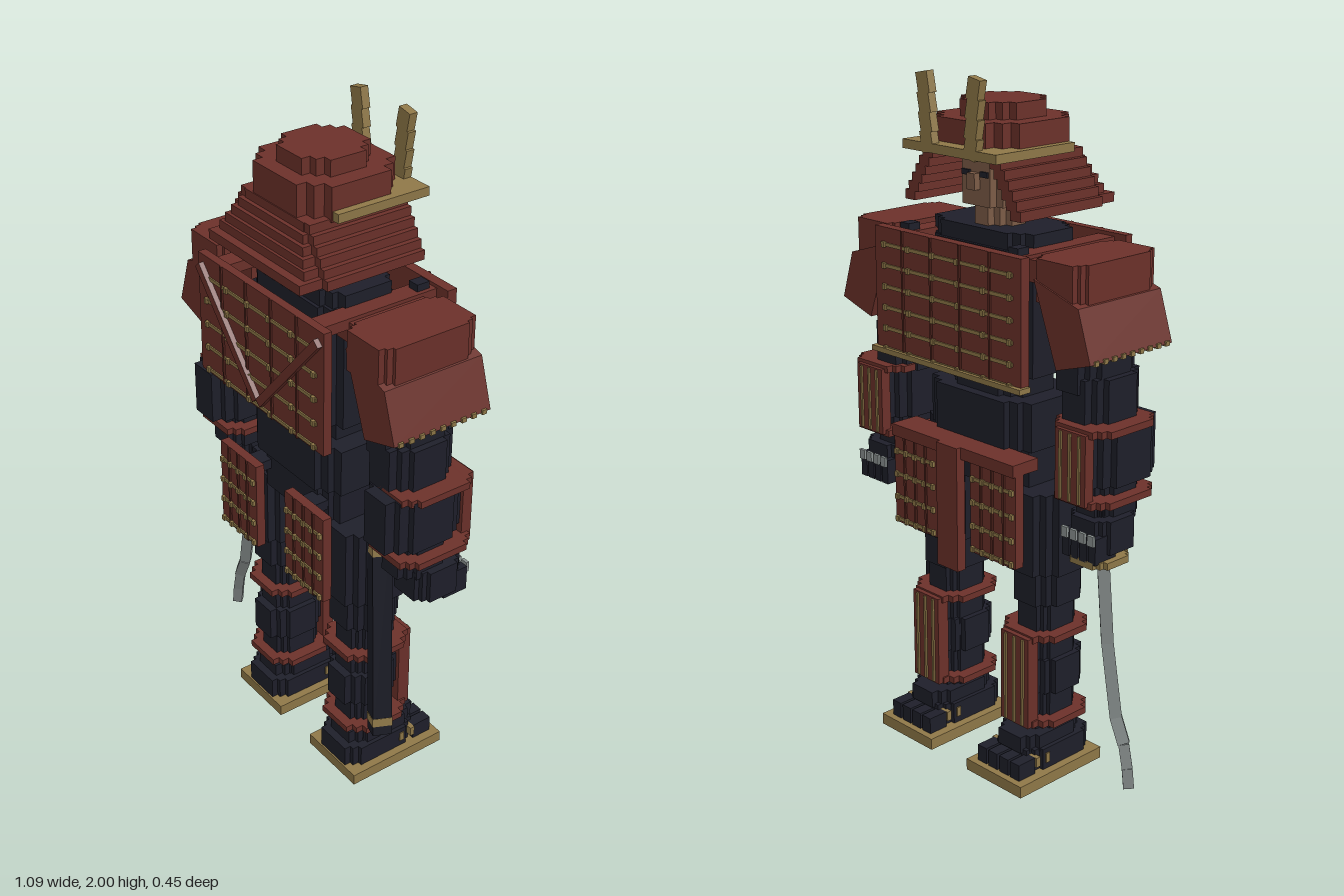
import * as THREE from 'three';

const mat = (name, color) => Object.assign(new THREE.MeshStandardMaterial({ color }), { name });

export function createModel() {
  const red = mat('lacquerRed', 0x6c312a), darkRed = mat('seamRed', 0x54261f), navy = mat('navyCloth', 0x1e1f2a);
  const gold = mat('gold', 0x8f7848), steel = mat('steel', 0x8d9493), skin = mat('skin', 0x7d5c47);
  const sheath = mat('sheathBlack', 0x191a24);
  const root = new THREE.Group();
  root.name = 'armouredWarrior';
  root.position.x = 0.03;

  const group = (name, parent = root) => {
    const g = new THREE.Group();
    g.name = name;
    parent.add(g);
    return g;
  };
  const add = (p, name, m, geo) => {
    const mesh = new THREE.Mesh(geo, m);
    mesh.name = name;
    p.add(mesh);
    return mesh;
  };
  const shape = pts => new THREE.Shape(pts.map(([x, y]) => new THREE.Vector2(x, y)));
  // box given by centre x, width, y range and z range
  const box = (p, name, m, x, w, y0, y1, z0, z1) => {
    const b = add(p, name, m, new THREE.BoxGeometry(w, y1 - y0, Math.abs(z1 - z0)));
    b.position.set(x, (y0 + y1) / 2, (z0 + z1) / 2);
    return b;
  };
  // plan outline extruded upwards
  const upright = (p, name, m, pts, y0, y1) => {
    const b = add(p, name, m, new THREE.ExtrudeGeometry(shape(pts), { depth: y1 - y0, bevelEnabled: false }).rotateX(-Math.PI / 2));
    b.position.y = y0;
    return b;
  };
  // upright prism with stepped, blocky round corners
  const block = (p, name, m, x, w, y0, y1, z0, z1, k = 0.16) => {
    const a = w / 2, d = (z1 - z0) / 2, u = w * k, v = 2 * d * k;
    const q = [[a, d - 2 * v], [a - u, d - 2 * v], [a - u, d - v], [a - 2 * u, d - v], [a - 2 * u, d]];
    const r = [...q].reverse();
    const pts = [...q, ...r.map(([i, j]) => [-i, j]), ...q.map(([i, j]) => [-i, -j]), ...r.map(([i, j]) => [i, -j])];
    const b = upright(p, name, m, pts, y0, y1);
    b.position.x = x;
    b.position.z = (z0 + z1) / 2;
  };
  // square bar between two points, standing on its edge
  const bar = (p, name, m, from, to, size) => {
    const a = new THREE.Vector3(...from), b = new THREE.Vector3(...to), len = a.distanceTo(b);
    const mesh = add(p, name, m, new THREE.BoxGeometry(size, len, size).rotateY(Math.PI / 4));
    mesh.position.copy(a).lerp(b, 0.5);
    mesh.quaternion.setFromUnitVectors(new THREE.Vector3(0, 1, 0), a.sub(b).normalize());
  };
  // laced plate: red board, seams, gold rows and knots on the outer side (dir = sign of z)
  const laced = (name, x, w, y0, y1, z, t, dir, rows, cols) => {
    const g = group(name), f = z + dir * t;
    box(g, 'board', red, x, w, y0, y1, z, f);
    for (let i = 1; i < cols; i++) {
      box(g, 'seam', darkRed, x - w / 2 + w * i / cols, 0.007, y0, y1, f, f + dir * 0.005);
    }
    for (let i = 0; i < rows; i++) {
      const y = y0 + 0.012 + (y1 - y0) * i / rows;
      box(g, 'lacing', gold, x, w * 0.9, y - 0.005, y + 0.005, f, f + dir * 0.004);
      for (let j = 0; j <= cols; j++) {
        box(g, 'knot', gold, x + w * 0.86 * (j / cols - 0.5), 0.012, y - 0.008, y + 0.008, f, f + dir * 0.009);
      }
    }
  };

  // head and helmet
  const head = group('head');
  block(head, 'neck', skin, 0, 0.145, 1.57, 1.66, -0.08, 0.06);
  block(head, 'face', skin, 0, 0.21, 1.64, 1.8, -0.1, 0.1, 0.12);
  for (const s of [-1, 1]) box(head, 'eye', navy, s * 0.035, 0.03, 1.72, 1.735, -0.106, -0.1);
  box(head, 'nose', skin, 0, 0.03, 1.685, 1.73, -0.12, -0.1);
  const helmet = group('helmet');
  block(helmet, 'crown', red, 0, 0.215, 1.87, 1.92, -0.105, 0.11, 0.12);
  block(helmet, 'dome', red, 0, 0.32, 1.78, 1.875, -0.155, 0.155, 0.1);
  box(helmet, 'brim', gold, 0, 0.365, 1.785, 1.81, -0.2, 0.09);
  // neck guard: flaring stack of rings open at the face
  const rears = [0.158, 0.17, 0.182, 0.192, 0.2, 0.225];
  rears.forEach((r, i) => {
    const w = 0.152 + i * 0.015, y = 1.76 - i * 0.025, k = w - 0.04, c = w - 0.022;
    upright(helmet, 'neckGuard', red, [[w, 0.155], [w, -0.155], [c, -0.155], [c, -r], [-c, -r], [-c, -0.155], [-w, -0.155],
      [-w, 0.155], [-k, 0.155], [-k, 0.04 - r], [k, 0.04 - r], [k, 0.155]], y, y + 0.027);
  });
  for (const s of [-1, 1]) {
    for (let i = 0; i < 4; i++) {
      const y = 1.785 + i * 0.051;
      const h = box(helmet, 'horn', gold, s * (0.085 + i * 0.004), 0.045, y, y + 0.058, -0.2, -0.175);
      h.rotation.z = -s * 0.2;
    }
  }

  // torso
  const torso = group('torso');
  block(torso, 'collar', navy, 0, 0.39, 1.5, 1.585, -0.11, 0.11, 0.08);
  block(torso, 'chest', navy, 0, 0.4, 1.19, 1.54, -0.12, 0.12, 0.08);
  block(torso, 'waist', navy, 0, 0.28, 0.855, 1.2, -0.1, 0.1, 0.1);
  block(torso, 'sash', navy, 0, 0.405, 0.98, 1.12, -0.13, 0.13, 0.08);
  block(torso, 'pelvis', navy, 0, 0.36, 0.855, 0.98, -0.11, 0.11, 0.08);
  laced('backPlate', 0, 0.575, 1.2, 1.56, 0.185, 0.025, 1, 5, 5);
  laced('breastPlate', 0, 0.58, 1.2, 1.56, -0.185, 0.03, -1, 6, 5);
  box(torso, 'breastHem', gold, 0, 0.6, 1.2, 1.215, -0.229, -0.19);
  for (const s of [-1, 1]) {
    const lace = box(torso, 'backLace', red, s * 0.14, 0.025, 1.18, 1.58, 0.21, 0.225);
    lace.rotation.z = -s * 0.72;
    box(torso, 'shoulderStrap', red, s * 0.215, 0.06, 1.52, 1.55, -0.19, 0.19);
    box(torso, 'shoulderJoin', red, s * 0.25, 0.11, 1.48, 1.54, -0.14, 0.1);
    box(torso, 'strapKnot', navy, s * 0.215, 0.035, 1.54, 1.57, -0.17, -0.13);
  }

  // skirt armour
  box(root, 'belt', red, 0, 0.5, 0.95, 0.985, -0.205, -0.11);
  box(root, 'loincloth', red, 0, 0.085, 0.615, 0.985, -0.22, -0.19);
  for (const s of [-1, 1]) {
    laced('rearSkirtPlate', s * 0.16, 0.18, 0.69, 0.965, 0.155, 0.028, 1, 4, 4);
    laced('frontSkirtPlate', s * 0.16, 0.18, 0.68, 0.96, -0.165, 0.03, -1, 4, 4);
    box(root, 'skirtHanger', navy, s * 0.13, 0.06, 0.92, 0.95, 0.1, 0.157);
  }

  for (const s of [-1, 1]) {
    // shoulder guard: flat cap and sloping panel
    const sh = group(s < 0 ? 'rightShoulder' : 'leftShoulder');
    block(sh, 'cap', red, s * 0.36, 0.17, 1.44, 1.555, -0.165, 0.145, 0.06);
    const slope = shape([[0.29, 1.5], [0.45, 1.45], [0.495, 1.31], [0.373, 1.272]].map(([x, y]) => [s * x, y]));
    add(sh, 'slope', red, new THREE.ExtrudeGeometry(slope, { depth: 0.315, bevelEnabled: false })).position.z = -0.17;
    for (let i = 0; i < 9; i++) {
      box(sh, 'stud', gold, s * 0.493, 0.012, 1.305, 1.318, -0.155 + i * 0.034, -0.14 + i * 0.034);
    }

    // arm
    const arm = group(s < 0 ? 'rightArm' : 'leftArm'), ax = s * 0.41, hx = s * 0.425;
    block(arm, 'upperArm', navy, s * 0.365, 0.15, 1.2, 1.47, -0.12, 0.1, 0.12);
    block(arm, 'elbow', navy, s * 0.38, 0.16, 1.1, 1.24, -0.11, 0.1, 0.12);
    block(arm, 'forearm', navy, ax, 0.17, 0.95, 1.11, -0.125, 0.135, 0.12);
    block(arm, 'wrist', navy, ax, 0.13, 0.84, 0.96, -0.09, 0.08, 0.12);
    block(arm, 'upperBand', red, ax, 0.2, 1.1, 1.12, -0.14, 0.1, 0.08);
    block(arm, 'lowerBand', red, ax, 0.2, 0.902, 0.922, -0.14, 0.1, 0.08);
    box(arm, 'forearmGuard', red, ax, 0.11, 0.91, 1.11, -0.152, -0.12);
    for (let i = -1; i < 2; i++) box(arm, 'guardStripe', gold, ax + i * 0.034, 0.008, 0.915, 1.105, -0.157, -0.152);
    block(arm, 'hand', navy, hx, 0.145, 0.765, 0.86, -0.115, 0.04, 0.1);
    for (let i = 0; i < 4; i++) {
      const fx = hx + (i - 1.5) * 0.032;
      box(arm, 'finger', navy, fx, 0.026, 0.745, 0.82, -0.13, -0.05);
      box(arm, 'knuckle', steel, fx, 0.022, 0.8, 0.83, -0.138, -0.129);
    }

    // leg
    const leg = group(s < 0 ? 'rightLeg' : 'leftLeg'), lx = s * 0.19;
    block(leg, 'thigh', navy, lx, 0.2, 0.63, 0.87, -0.12, 0.1, 0.12);
    block(leg, 'knee', navy, lx, 0.165, 0.53, 0.64, -0.1, 0.085, 0.12);
    block(leg, 'shin', navy, lx, 0.125, 0.08, 0.54, -0.09, 0.065, 0.1);
    block(leg, 'calf', navy, lx, 0.16, 0.255, 0.36, -0.1, 0.09, 0.12);
    for (const y of [0.163, 0.43]) block(leg, 'legBand', red, lx, 0.2, y, y + 0.02, -0.125, 0.095, 0.1);
    const guard = group('shinGuard', leg);
    box(guard, 'board', red, lx, 0.11, 0.165, 0.445, -0.14, -0.1);
    for (let i = -1; i < 2; i++) box(guard, 'stripe', gold, lx + i * 0.034, 0.008, 0.17, 0.44, -0.146, -0.14);
    block(leg, 'foot', navy, lx, 0.175, 0.035, 0.1, -0.15, 0.1, 0.08);
    block(leg, 'ankle', navy, lx, 0.15, 0.09, 0.14, -0.16, 0.075, 0.1);
    for (let i = 0; i < 4; i++) box(leg, 'toe', navy, lx + (i - 1.5) * 0.045, 0.036, 0.035, 0.085, -0.205, -0.14);
    for (const z of [-0.1, -0.14]) box(leg, 'sandalStrap', gold, lx, 0.183, 0.055, 0.085, z, z + 0.015);
    box(leg, 'sandal', gold, lx, 0.225, 0, 0.035, -0.225, 0.105);
  }

  // sword in the right hand, blade in short straight lengths
  const sword = group('sword');
  block(sword, 'guard', gold, -0.435, 0.14, 0.73, 0.75, -0.13, 0.01, 0.1);
  block(sword, 'grip', sheath, -0.44, 0.04, 0.74, 0.9, -0.08, -0.04);
  const path = [[-0.45, 0.74], [-0.472, 0.495], [-0.509, 0.28], [-0.54, 0.21], [-0.555, 0.14], [-0.562, 0.082]];
  for (let i = 1; i < path.length; i++) {
    bar(sword, 'blade', steel, [...path[i - 1], -0.06], [...path[i], -0.06], 0.034 - (i > 3 ? 0.004 : 0));
  }

  // slanting scabbard on the left hip
  const scabbard = group('scabbard');
  const along = t => [0.418 - 0.15 * t, 0.3 + 0.66 * t, 0.105 - 0.1 * t];
  bar(scabbard, 'sheath', sheath, along(0), along(1), 0.056);
  for (const t of [0.04, 0.79]) bar(scabbard, 'fitting', gold, along(t), along(t + 0.035), 0.059);
  bar(scabbard, 'mouth', gold, along(1), along(1.02), 0.04);
  return root;
}
